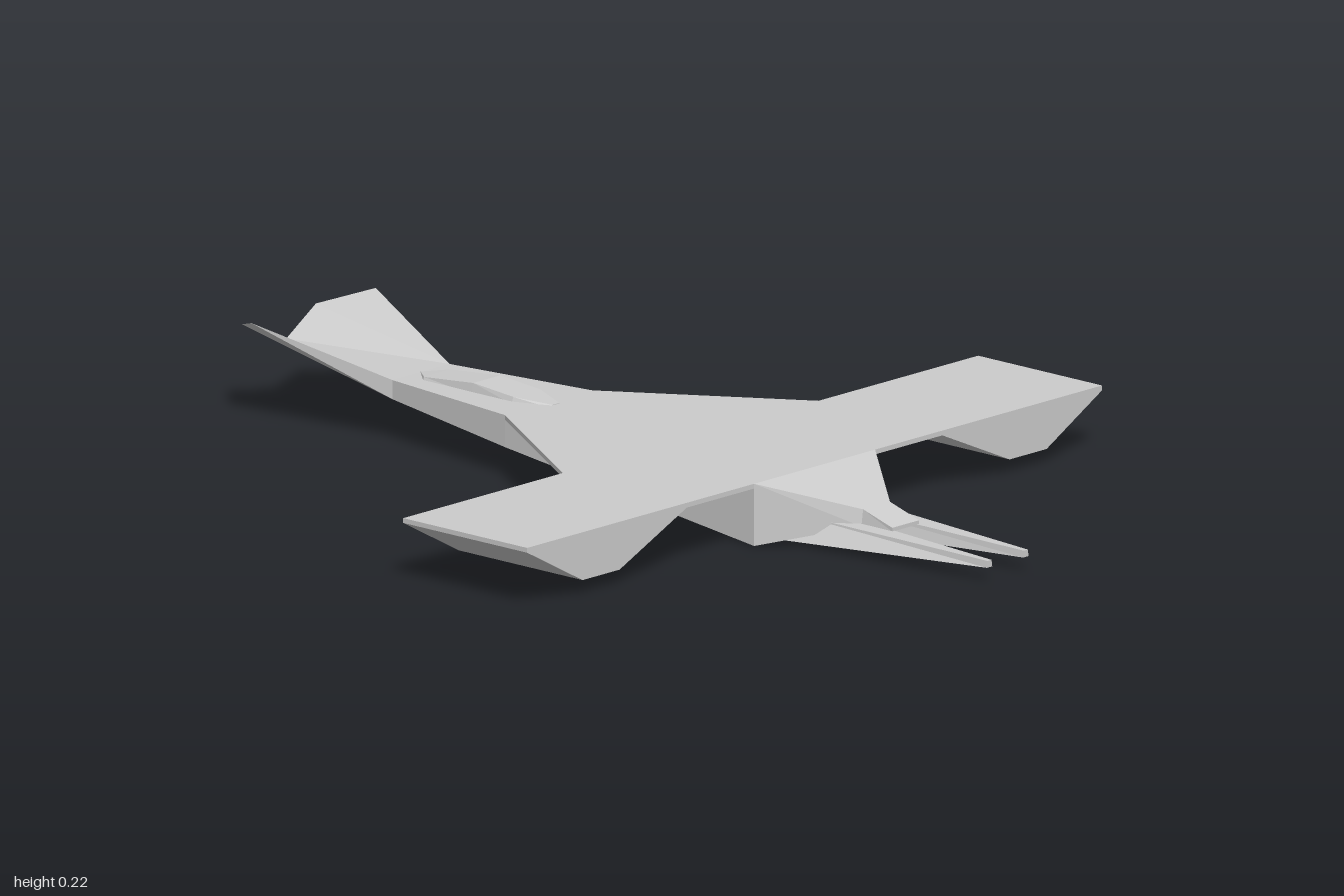
import * as THREE from 'three';

const material = new THREE.MeshStandardMaterial({ color: 0xcccccc, flatShading: true, side: THREE.DoubleSide });

function addMesh(group, name, geometry) {
  const mesh = new THREE.Mesh(geometry, material);
  mesh.name = name;
  group.add(mesh);
}

// Flat-shaded geometry from a list of corner triples
function fromTriangles(triangles) {
  const geometry = new THREE.BufferGeometry();
  geometry.setAttribute('position', new THREE.Float32BufferAttribute(triangles.flat(2), 3));
  geometry.computeVertexNormals();
  return geometry;
}

// Joins rings of points (counter-clockwise seen from +z, ordered towards +z) and caps the ends
function loft(rings) {
  const n = rings[0].length, tris = [];
  for (let i = 0; i < rings.length - 1; i++) {
    for (let j = 0; j < n; j++) {
      const k = (j + 1) % n, a = rings[i], b = rings[i + 1];
      tris.push([a[j], a[k], b[k]], [a[j], b[k], b[j]]);
    }
  }
  const first = rings[0], last = rings[rings.length - 1];
  for (let j = 1; j < n - 1; j++) {
    tris.push([first[0], first[j + 1], first[j]], [last[0], last[j], last[j + 1]]);
  }
  return fromTriangles(tris);
}

// Symmetric box section: half width at the bottom and top, low and high y
const section = (z, wBottom, wTop, y0, y1) =>
  [[-wBottom, y0, z], [wBottom, y0, z], [wTop, y1, z], [-wTop, y1, z]];

const flip = ([x, y, z]) => [-x, y, z];

export function createModel() {
  const group = new THREE.Group();

  // Wedge hull with its narrowing neck
  addMesh(group, 'hull', loft([
    section(-0.61, 0.085, 0.085, 0.09, 0.13),
    section(-0.26, 0.13, 0.13, 0.063, 0.13),
    section(0.47, 0.18, 0.18, 0, 0.13),
  ]));

  // Funnel at the +z end of the hull
  addMesh(group, 'funnel', loft([
    section(0.47, 0.18, 0.18, 0, 0.13),
    section(0.64, 0.045, 0.04, 0.045, 0.08),
    section(0.72, 0.04, 0.04, 0.048, 0.056),
  ]));

  // Wing slab with a keel under each outer half
  const half = [[0.38, 0.12], [0.58, 0.03], [0.69, 0.03], [0.855, 0.12], [0.855, 0.13]];
  const profile = [...half, ...half.map(([x, y]) => [-x, y]).reverse()];
  const wings = new THREE.ExtrudeGeometry(
    new THREE.Shape(profile.map(([x, y]) => new THREE.Vector2(x, y))),
    { depth: 0.34, bevelEnabled: false });
  wings.translate(0, 0, 0.13);
  addMesh(group, 'wings', wings);

  // Thin plate from the wing edge to the neck
  addMesh(group, 'shoulderPlate', loft([
    section(-0.26, 0.13, 0.13, 0.12, 0.13),
    section(0.13, 0.38, 0.38, 0.12, 0.13),
  ]));

  // Beak with two raised fins
  const A = [0.085, 0.13, -0.61], A2 = [0.085, 0.09, -0.61];
  const O = [0, 0.13, -0.61], O2 = [0, 0.09, -0.61];
  const B = [0.185, 0.215, -0.905], D = [0.11, 0.18, -1];
  const C = [0, 0.132, -0.98], E = [0, 0.118, -0.975];
  const headHalf = [
    [A, C, O], [A, B, D], [A, D, C], [A, A2, B],
    [A2, D, B], [A2, E, D], [A2, O2, E], [C, D, E],
  ];
  const mirrored = headHalf.map(([p, q, r]) => [flip(p), flip(r), flip(q)]);
  addMesh(group, 'finnedHead', fromTriangles([...headHalf, ...mirrored]));

  // Low canopy on the neck
  addMesh(group, 'canopy', loft([
    section(-0.61, 0.001, 0.001, 0.125, 0.131),
    section(-0.565, 0.045, 0.04, 0.125, 0.136),
    section(-0.43, 0.045, 0.04, 0.125, 0.148),
    section(-0.32, 0.045, 0.04, 0.125, 0.139),
    section(-0.24, 0.015, 0.01, 0.125, 0.131),
  ]));

  // Pair of tapering prongs
  const prong = [
    [[0.005, 0.005, 0.46], [0.13, 0.005, 0.46], [0.09, 0.055, 0.46], [0.02, 0.055, 0.46]],
    [[0.046, 0.028, 1], [0.062, 0.028, 1], [0.06, 0.042, 1], [0.048, 0.042, 1]],
  ];
  addMesh(group, 'leftProng', loft(prong));
  addMesh(group, 'rightProng', loft(prong.map(ring => ring.map(flip).reverse())));

  return group;
}
